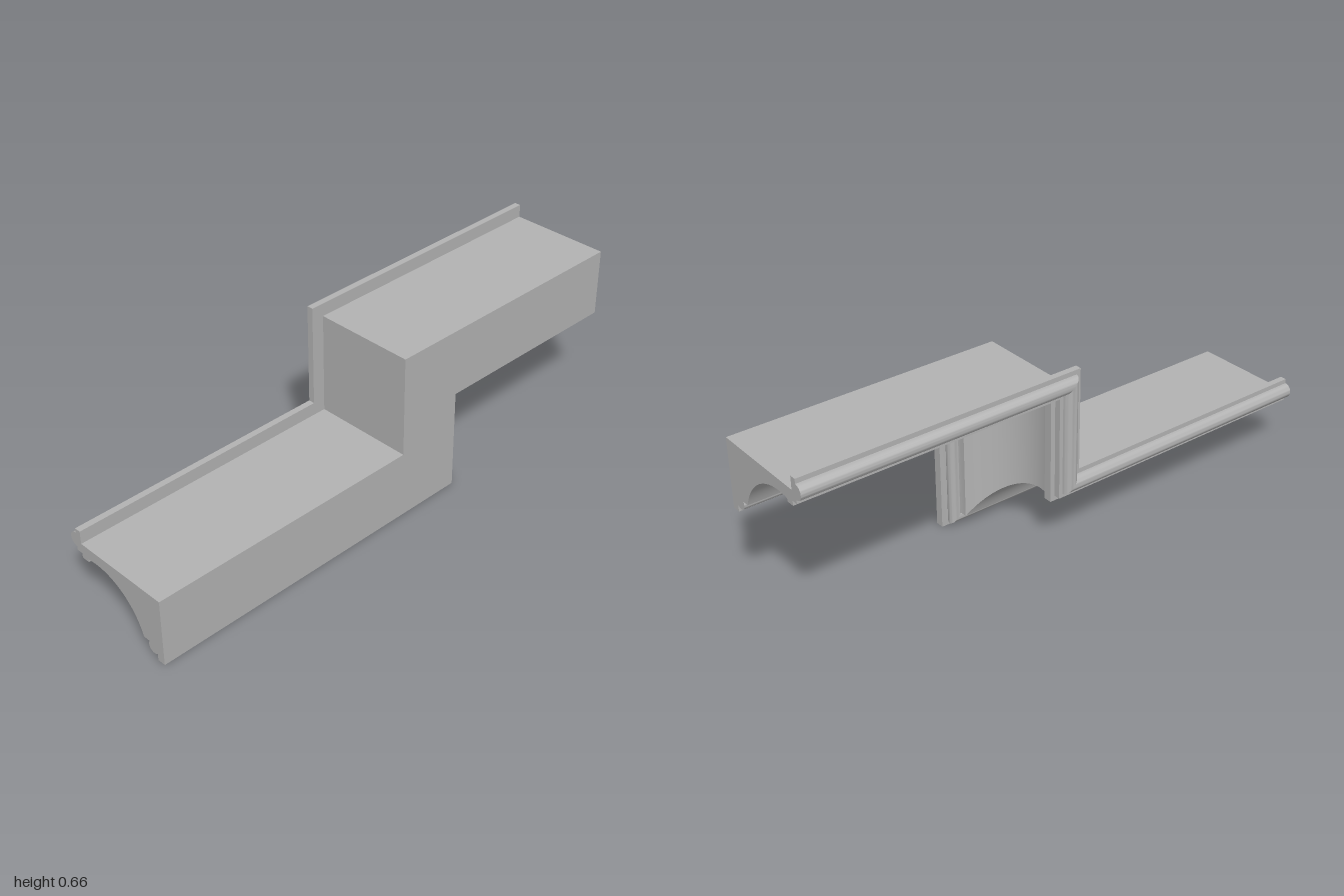
import * as THREE from 'three';
import { toCreasedNormals } from 'three/addons/utils/BufferGeometryUtils.js';

const RISE = 0.367;    // height of the step
const RISER_X = 0.26;  // x of the riser's outer edge

// points along an arc, angles in degrees
function arc(cx, cy, r, from, to, n) {
  return Array.from({ length: n + 1 }, (_, i) => {
    const a = THREE.MathUtils.degToRad(from + ((to - from) * i) / n);
    return new THREE.Vector2(cx + r * Math.cos(a), cy + r * Math.sin(a));
  });
}

const pt = (u, h) => new THREE.Vector2(u, h);

// moulding cross-section: u runs toward the back (-z), h is height
function mouldingProfile() {
  return [
    pt(-0.21, 0), pt(-0.18, 0),
    ...arc(-0.163, 0.04, 0.0225, -138, 35, 14),   // lower bead
    pt(-0.142, 0.0535),
    ...arc(0.09, -0.011, 0.218, 162.7, 79.4, 28), // cove
    pt(0.13, 0.193), pt(0.16, 0.193),
    pt(0.16, 0.21), pt(0.183, 0.21),
    ...arc(0.183, 0.25, 0.0265, -90, 90, 16),     // upper bead
    pt(0.183, 0.293), pt(0.16, 0.293),
    pt(0.16, 0.246), pt(-0.21, 0.246),
  ];
}

function steppedMoulding() {
  const profile = mouldingProfile();
  // left end, two mitred corners, right end
  const stations = [
    (p) => [-1, p.y, -p.x],
    (p) => [RISER_X - p.y, p.y, -p.x],
    (p) => [RISER_X - p.y, RISE + p.y, -p.x],
    (p) => [1, RISE + p.y, -p.x],
  ];
  const pos = [];
  const tri = (a, b, c) => pos.push(...a, ...b, ...c);

  // swept faces
  for (let s = 0; s < stations.length - 1; s++) {
    profile.forEach((p, i) => {
      const q = profile[(i + 1) % profile.length];
      const [p0, p1] = [stations[s](p), stations[s + 1](p)];
      const [q0, q1] = [stations[s](q), stations[s + 1](q)];
      tri(p0, q0, p1);
      tri(p1, q0, q1);
    });
  }

  // end caps
  const [left, right] = [stations[0], stations[3]];
  for (const [a, b, c] of THREE.ShapeUtils.triangulateShape(profile, [])) {
    tri(right(profile[a]), right(profile[b]), right(profile[c]));
    tri(left(profile[a]), left(profile[c]), left(profile[b]));
  }

  const geometry = new THREE.BufferGeometry();
  geometry.setAttribute('position', new THREE.Float32BufferAttribute(pos, 3));
  return toCreasedNormals(geometry, THREE.MathUtils.degToRad(25));
}

export function createModel() {
  const group = new THREE.Group();
  group.name = 'steppedCornice';
  const plaster = new THREE.MeshStandardMaterial({ color: 0xb2b2b2 });
  plaster.name = 'grey plaster';
  const moulding = new THREE.Mesh(steppedMoulding(), plaster);
  moulding.name = 'moulding';
  group.add(moulding);
  return group;
}
